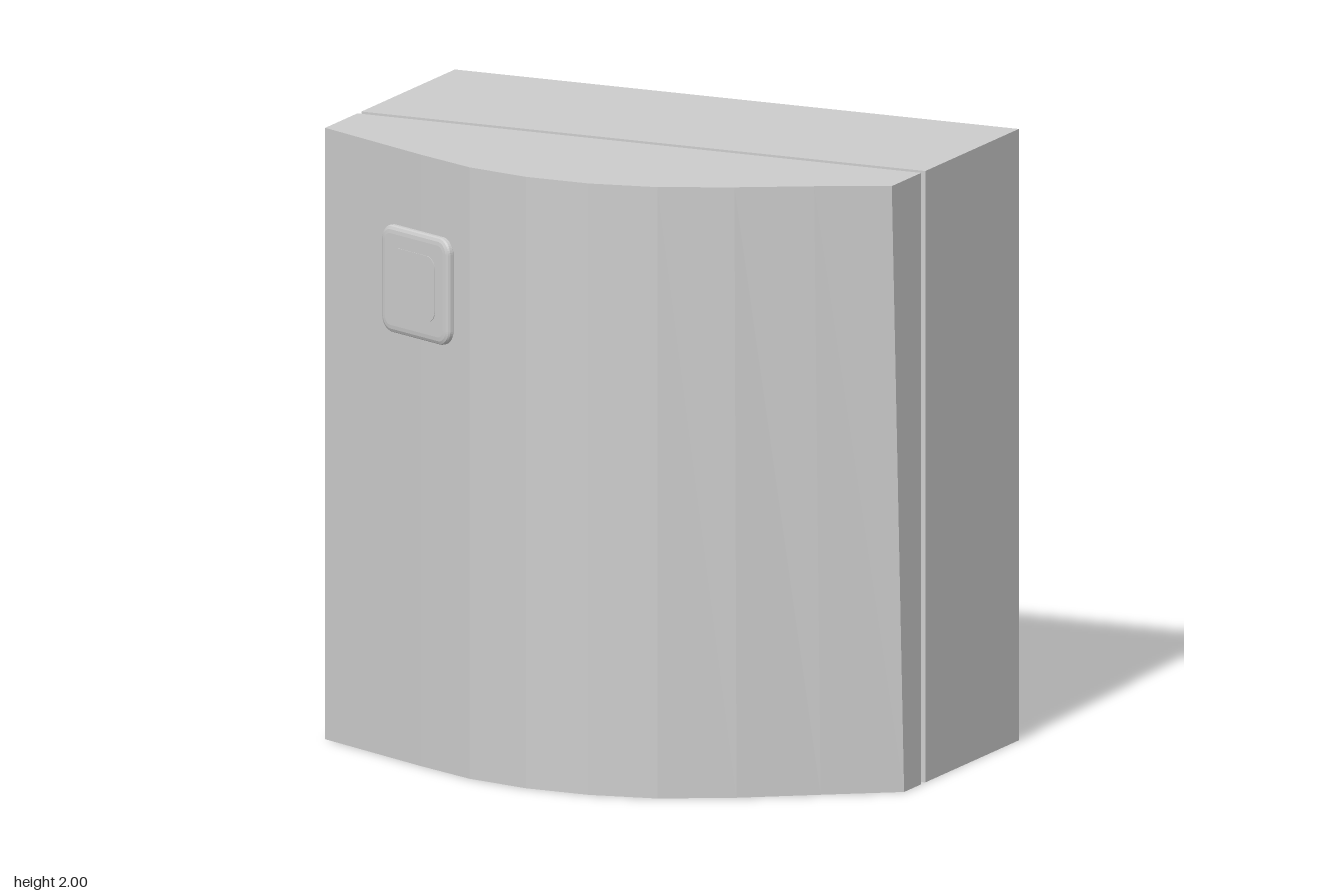
import * as THREE from 'three';

const material = new THREE.MeshStandardMaterial({ color: 0xcccccc });

function addMesh(parent, geometry, name) {
  const mesh = new THREE.Mesh(geometry, material);
  mesh.name = name;
  parent.add(mesh);
  return mesh;
}

function boxBetween(x, y0, y1, z0, z1) {
  return new THREE.BoxGeometry(2 * x, y1 - y0, z1 - z0).translate(0, (y0 + y1) / 2, (z0 + z1) / 2);
}

function roundedRect(w, h, r) {
  const s = new THREE.Shape();
  const x = w / 2 - r, y = h / 2 - r;
  s.absarc(x, y, r, 0, Math.PI / 2);
  s.absarc(-x, y, r, Math.PI / 2, Math.PI);
  s.absarc(-x, -y, r, Math.PI, Math.PI * 1.5);
  s.absarc(x, -y, r, Math.PI * 1.5, Math.PI * 2);
  s.closePath();
  return s;
}

// Bowed door: front depths at ten even steps from right to left
function doorGeometry() {
  const depths = [0.29, 0.4, 0.51, 0.61, 0.657, 0.657, 0.61, 0.505, 0.38, 0.27];
  const points = depths.map((z, i) => new THREE.Vector2(-1 + (2 * i) / 9, -z));
  points.push(new THREE.Vector2(1, -0.055), new THREE.Vector2(-1, -0.055));
  const geo = new THREE.ExtrudeGeometry(new THREE.Shape(points), { depth: 2, bevelEnabled: false });
  geo.rotateX(-Math.PI / 2);
  // The left front edge tapers inward toward the bottom
  const p = geo.attributes.position;
  for (let i = 0; i < p.count; i++) {
    const t = Math.max(0, (p.getX(i) - 1 / 3) * 1.5);
    if (p.getY(i) < 0.01 && p.getZ(i) > 0.1) p.setZ(i, p.getZ(i) - 0.09 * t ** 1.6);
  }
  geo.computeVertexNormals();
  return geo;
}

export function createModel() {
  const model = new THREE.Group();
  model.name = 'cabinet';

  addMesh(model, boxBetween(1, 0, 2, -0.66, 0.025), 'body');
  addMesh(model, boxBetween(0.975, 0.03, 1.975, 0.02, 0.058), 'gasket');
  addMesh(model, doorGeometry(), 'door');

  // Square button plate lying on the bowed door
  const plate = new THREE.Group();
  plate.name = 'buttonPlate';
  plate.position.set(-0.56, 1.575, 0.508);
  plate.rotation.y = -Math.atan(0.465);
  model.add(plate);

  const base = new THREE.ExtrudeGeometry(roundedRect(0.29, 0.3, 0.025), {
    depth: 0.012, bevelThickness: 0.012, bevelSize: 0.025, bevelSegments: 3, curveSegments: 5,
  });
  addMesh(plate, base, 'plate');

  const button = new THREE.ExtrudeGeometry(roundedRect(0.215, 0.215, 0.04), {
    depth: 0.006, bevelEnabled: false, curveSegments: 6,
  });
  addMesh(plate, button, 'button').position.z = 0.02;

  return model;
}
